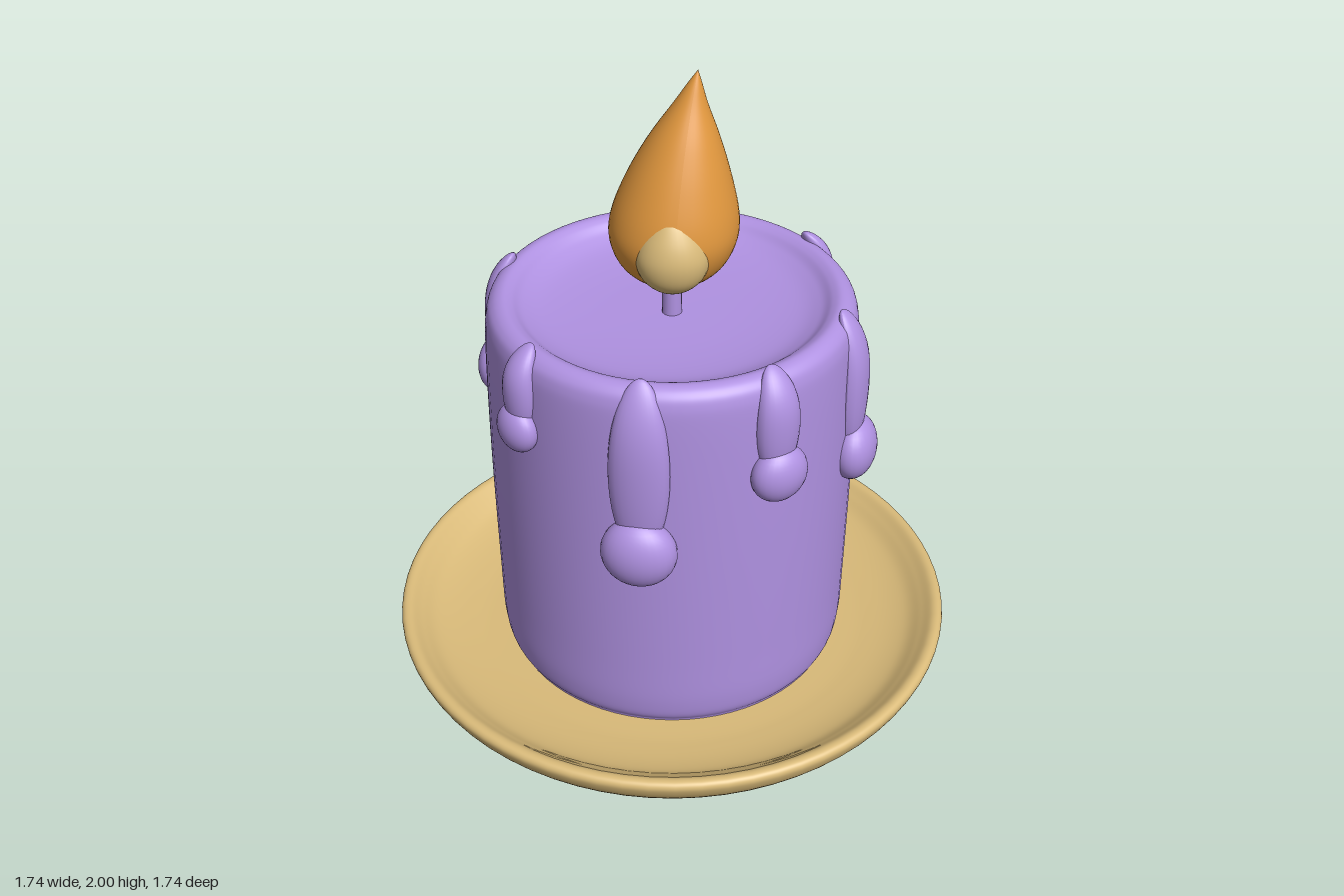
import * as THREE from 'three';

const mat = (name, color) => {
  const m = new THREE.MeshStandardMaterial({ color });
  m.name = name;
  return m;
};

// Smooth lathe through a few [radius, y] points
function turned(points, segments = 64, divisions = 60) {
  const curve = new THREE.SplineCurve(points.map(([r, y]) => new THREE.Vector2(r, y)));
  const profile = curve.getPoints(divisions).map(p => new THREE.Vector2(Math.max(p.x, 0), p.y));
  return new THREE.LatheGeometry(profile, segments);
}

// Move every vertex by a rule, then refresh the normals
function bend(geometry, rule) {
  const pos = geometry.attributes.position;
  const v = new THREE.Vector3();
  for (let i = 0; i < pos.count; i++) {
    rule(v.fromBufferAttribute(pos, i));
    pos.setXYZ(i, v.x, v.y, v.z);
  }
  geometry.computeVertexNormals();
  return geometry;
}

export function createModel() {
  const group = new THREE.Group();
  group.name = 'candle';
  const wax = mat('purple wax', 0xb092e2);
  const clay = mat('pale gold', 0xdabb7a);
  const fire = mat('orange flame', 0xe2983e);

  const add = (name, geometry, material, parent = group) => {
    const mesh = new THREE.Mesh(geometry, material);
    mesh.name = name;
    parent.add(mesh);
    return mesh;
  };

  // Shallow dish with a rounded lip
  add('dish', turned([
    [0, 0], [0.3, 0.002], [0.56, 0.01], [0.7, 0.027], [0.79, 0.062], [0.845, 0.115],
    [0.87, 0.165], [0.864, 0.188], [0.84, 0.19], [0.805, 0.165], [0.75, 0.13],
    [0.65, 0.108], [0.5, 0.1], [0, 0.1],
  ], 72, 90), clay);

  // Candle body with a rounded rim and a hollowed top
  add('candleBody', turned([
    [0, 0.08], [0.46, 0.085], [0.52, 0.11], [0.54, 0.18], [0.545, 0.35], [0.55, 0.7], [0.55, 1.0],
    [0.546, 1.2], [0.538, 1.27], [0.52, 1.3], [0.492, 1.312], [0.465, 1.303],
    [0.43, 1.277], [0.36, 1.254], [0.22, 1.242], [0, 1.24],
  ], 72, 110), wax);

  // Wick
  const wick = add('wick', new THREE.CylinderGeometry(0.028, 0.03, 0.2, 16), wax);
  wick.position.y = 1.3;

  // Flame, leaning towards its tip
  const flame = turned([
    [0, 1.34], [0.045, 1.348], [0.1, 1.373], [0.155, 1.425], [0.184, 1.5], [0.179, 1.58],
    [0.145, 1.69], [0.099, 1.8], [0.048, 1.9], [0.02, 1.96], [0, 2],
  ], 48);
  add('flame', bend(flame, v => { v.x += 0.07 * ((v.y - 1.34) / 0.66) ** 2; }), fire);

  // Pale glow on the front of the flame
  const glow = add('flameGlow', turned([
    [0, -0.115], [0.05, -0.1], [0.09, -0.06], [0.104, -0.005], [0.09, 0.05],
    [0.055, 0.105], [0.025, 0.132], [0, 0.14],
  ], 32, 40), clay);
  glow.scale.z = 0.82;
  glow.position.set(0, 1.5, 0.13);

  // Wax drips: [x, z, bead height, bead radius, stem half width]
  const drips = [
    [-0.1, 0.56, 0.79, 0.11, 0.087],
    [0.29, 0.478, 1.01, 0.088, 0.068],
    [0.53, 0.17, 0.875, 0.1, 0.077],
    [0.45, -0.32, 1.055, 0.084, 0.066],
    [-0.53, -0.195, 0.94, 0.095, 0.075],
    [-0.43, 0.35, 1.08, 0.074, 0.056],
  ];
  drips.forEach(([x, z, beadY, beadR, halfWidth], i) => {
    const drip = new THREE.Group();
    drip.name = `drip${i + 1}`;
    drip.rotation.y = Math.atan2(x, z);
    group.add(drip);

    // Stem curls inwards over the rim
    const bottom = beadY - 0.02, top = 1.335;
    const half = (top - bottom) / 2;
    const stem = new THREE.SphereGeometry(1, 24, 28);
    bend(stem, v => {
      const k = Math.max(v.y, 0);
      v.set(v.x * halfWidth, (top + bottom) / 2 + v.y * half,
        v.z * 0.045 + 0.548 - 0.045 * k * k * k);
    });
    add('dripStem', stem, wax, drip);

    const bead = add('dripBead', new THREE.SphereGeometry(1, 28, 20), wax, drip);
    bead.scale.set(beadR, beadR, beadR * 0.68);
    bead.position.set(0, beadY, 0.562);
  });

  return group;
}
